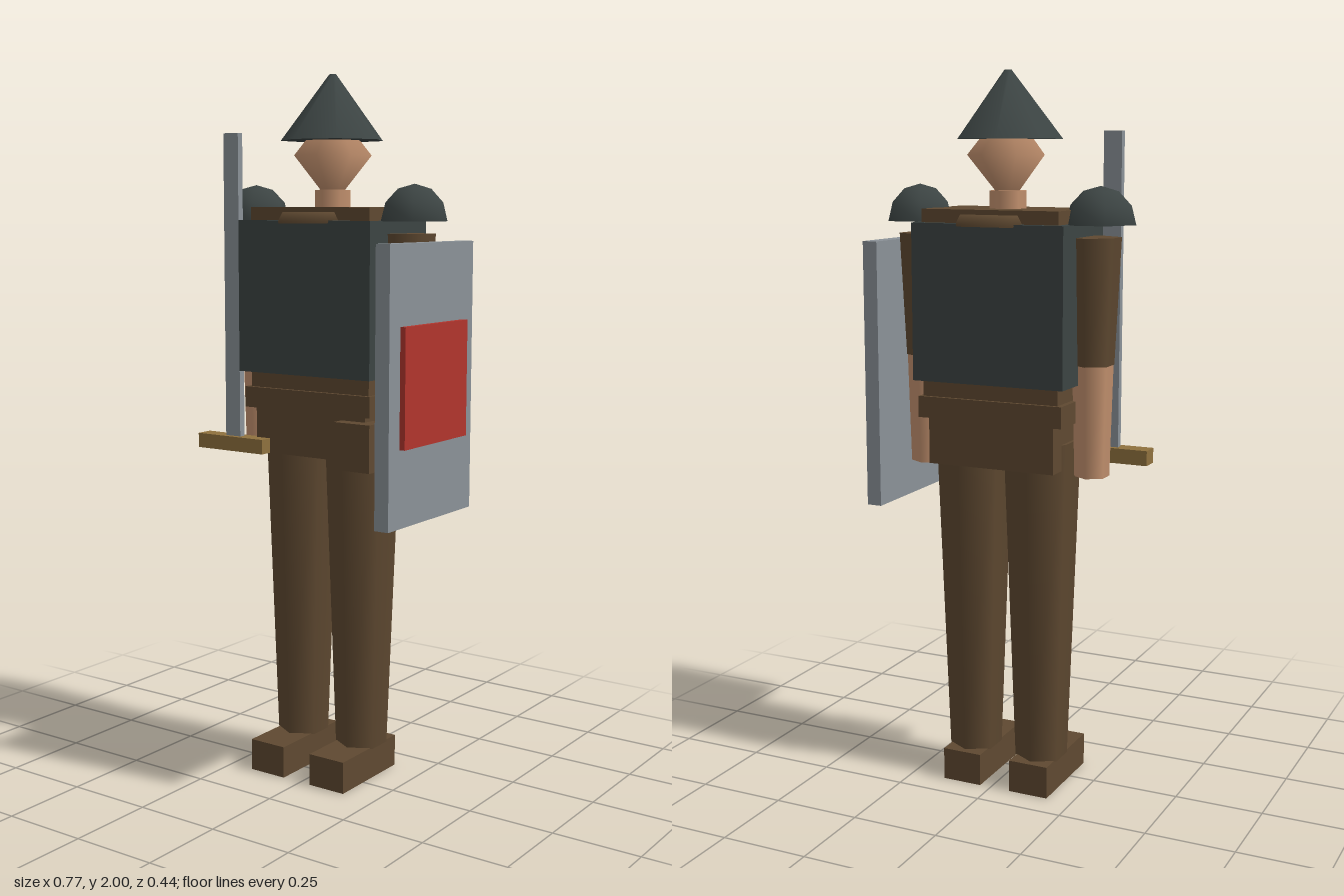
import * as THREE from 'three';

const paint = (name, color, side = THREE.FrontSide) => {
  const m = new THREE.MeshStandardMaterial({ color, side });
  m.name = name;
  return m;
};

export function createModel() {
  const leather = paint('brown leather', 0x5f4931);
  const iron = paint('dark iron', 0x3c4443, THREE.DoubleSide);
  const skin = paint('skin', 0xc4926f);
  const steel = paint('steel', 0x8b9298);
  const red = paint('red', 0xb2352d);
  const brass = paint('brass', 0x8f713e);

  const model = new THREE.Group();
  model.name = 'soldier';
  const CX = -0.013, CZ = -0.075; // body axis

  const add = (name, geometry, material, x = 0, y = 0, z = 0) => {
    const mesh = new THREE.Mesh(geometry, material);
    mesh.name = name;
    mesh.position.set(x, y, z);
    model.add(mesh);
    return mesh;
  };
  // box given by its limits on each axis
  const box = (name, material, [x0, x1], [y0, y1], [z0, z1]) =>
    add(name, new THREE.BoxGeometry(x1 - x0, y1 - y0, z1 - z0), material,
      (x0 + x1) / 2, (y0 + y1) / 2, (z0 + z1) / 2);
  // six-sided tapered limb between two heights
  const limb = (name, material, x, y0, y1, r0, r1) =>
    add(name, new THREE.CylinderGeometry(r1, r0, y1 - y0, 6), material, x, (y0 + y1) / 2, CZ);

  // torso, belt and hips
  box('torso', leather, [-0.214, 0.188], [1.1, 1.636], [-0.194, 0.041]);
  box('breastplate', iron, [-0.238, 0.207], [1.172, 1.6], [-0.218, 0.068]);
  box('belt', leather, [-0.229, 0.199], [1.068, 1.127], [-0.204, 0.053]);
  box('hips', leather, [-0.2, 0.174], [0.938, 1.068], [-0.19, 0.038]);
  box('pouch', leather, [0.096, 0.214], [0.92, 1.053], [0.0, 0.077]);
  const collar = new THREE.TorusGeometry(0.138, 0.03, 6, 6).rotateX(Math.PI / 2);
  add('collar', collar, leather, CX, 1.597, CZ);

  // head and pointed helmet
  limb('neck', skin, CX, 1.61, 1.684, 0.05, 0.05);
  add('head', new THREE.SphereGeometry(1, 7, 2), skin, CX, 1.778, CZ).scale.set(0.108, 0.138, 0.116);
  const helmet = new THREE.CylinderGeometry(0.01, 0.148, 0.18, 7).rotateY(Math.PI / 2);
  add('helmet', helmet, iron, CX, 1.91, CZ);

  // paired limbs and shoulder guards
  for (const [side, s] of [['left', 1], ['right', -1]]) {
    const arm = CX + s * 0.252, leg = CX + s * 0.104;
    limb(side + 'UpperArm', leather, arm, 1.225, 1.565, 0.058, 0.074);
    limb(side + 'Forearm', skin, arm, 0.92, 1.225, 0.048, 0.056);
    const dome = new THREE.SphereGeometry(0.1, 6, 3, 0, Math.PI * 2, 0, Math.PI / 2);
    add(side + 'ShoulderGuard', dome, iron, CX + s * 0.27, 1.599, CZ).scale.z = 1.05;
    limb(side + 'Leg', leather, leg, 0.09, 1.01, 0.074, 0.107);
    box(side + 'Foot', leather, [leg - 0.058, leg + 0.058], [0, 0.092], [-0.168, 0.104]);
  }

  // sword
  box('swordBlade', steel, [-0.295, -0.243], [0.978, 1.842], [0.041, 0.061]);
  box('swordGuard', brass, [-0.386, -0.152], [0.938, 0.98], [0.025, 0.077]);

  // shield with a red panel on its outer face
  box('shield', steel, [0.325, 0.368], [0.802, 1.545], [-0.203, 0.22]);
  box('shieldPanel', red, [0.368, 0.384], [1.013, 1.333], [-0.15, 0.168]);

  return model;
}
